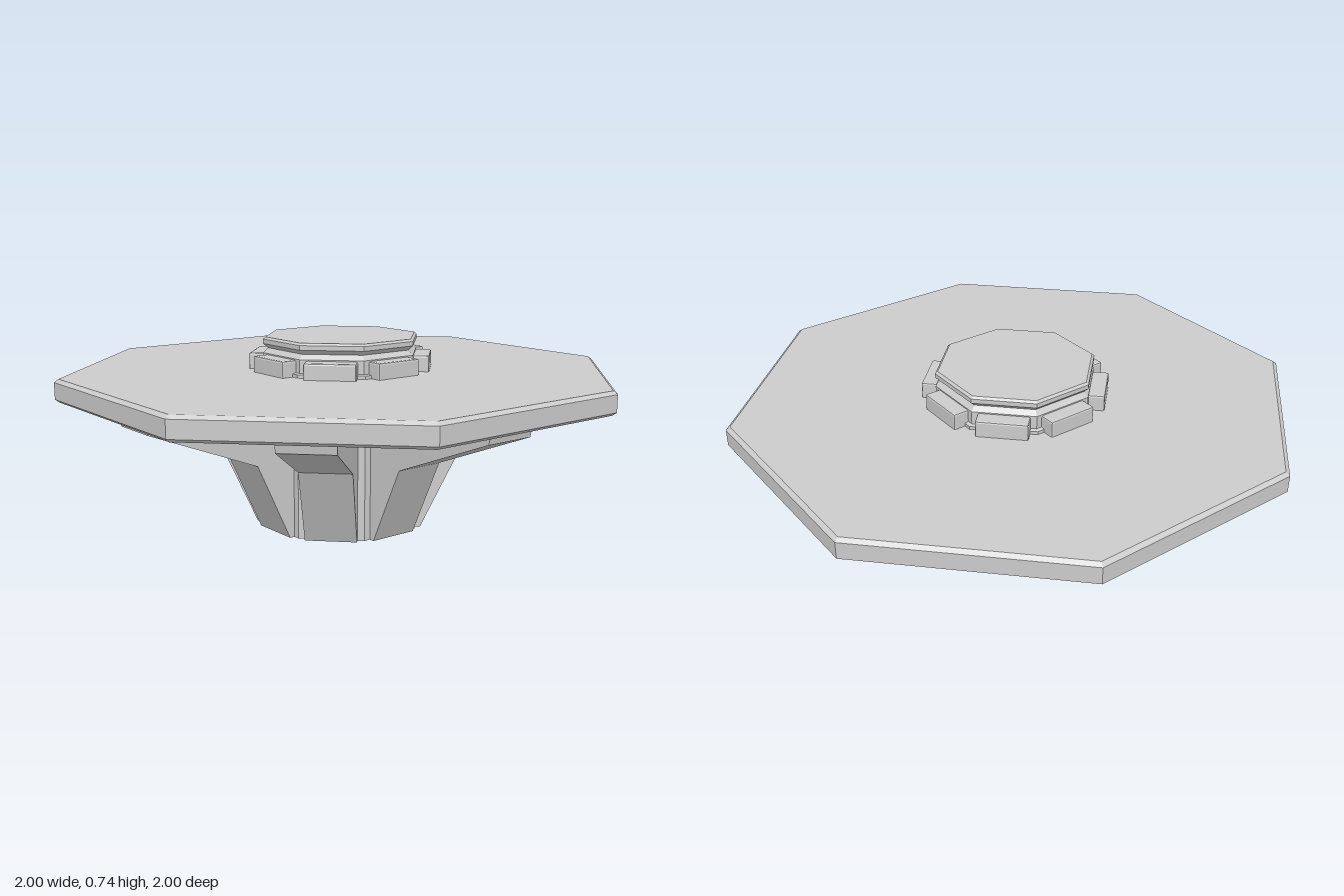
import * as THREE from 'three';
import { RoundedBoxGeometry } from 'three/addons/geometries/RoundedBoxGeometry.js';

const SIDES = 8;
const STEP = (Math.PI * 2) / SIDES;
const grey = new THREE.MeshStandardMaterial({ color: 0xcccccc, flatShading: true });
const greyShell = new THREE.MeshStandardMaterial({ color: 0xcccccc, flatShading: true, side: THREE.DoubleSide });

function part(name, geometry, material = grey) {
  const flat = geometry.index ? geometry.toNonIndexed() : geometry;
  flat.computeVertexNormals();
  const mesh = new THREE.Mesh(flat, material);
  mesh.name = name;
  return mesh;
}

// Octagonal solid from [apothem, y] pairs, flat sides facing the axes
function octagon(name, profile) {
  const points = profile.map(([r, y]) => new THREE.Vector2(r / Math.cos(STEP / 2), y));
  return part(name, new THREE.LatheGeometry(points, SIDES, STEP / 2));
}

// Hollow pedestal: an octagonal core whose sides push out into eight bracket legs
function pedestalGeometry() {
  const core = 0.3, half = 0.098;
  const corner = core * Math.tan(STEP / 2);
  const levels = [[0.32, 0], [0.46, 0.298], [0.895, 0.472], [0.905, 0.524]]; // leg reach, height
  const positions = [], index = [];
  const ring = SIDES * 5;
  levels.forEach(([reach, y], row) => {
    const section = [[-corner, core], [-half, core], [-half, reach], [half, reach], [half, core]];
    for (let s = 0; s < SIDES; s++) {
      const sin = Math.sin(s * STEP), cos = Math.cos(s * STEP);
      for (const [x, z] of section) positions.push(x * cos + z * sin, y, z * cos - x * sin);
    }
    if (row === 0) return;
    for (let i = 0; i < ring; i++) {
      const a = (row - 1) * ring + i, b = (row - 1) * ring + ((i + 1) % ring);
      index.push(a, b, b + ring, a, b + ring, a + ring);
    }
  });
  const geometry = new THREE.BufferGeometry();
  geometry.setAttribute('position', new THREE.Float32BufferAttribute(positions, 3));
  geometry.setIndex(index);
  return geometry;
}

export function createModel() {
  const model = new THREE.Group();
  model.name = 'octagonalTable';

  model.add(part('pedestal', pedestalGeometry(), greyShell));

  // Broad top with bevelled rim
  model.add(octagon('tableTop', [
    [0, 0.52], [0.985, 0.52], [1, 0.532], [1, 0.595], [0.985, 0.607], [0, 0.611],
  ]));

  // Raised hub with a groove under its lid
  model.add(octagon('hub', [
    [0.3, 0.6], [0.3, 0.622], [0.285, 0.625], [0.285, 0.675], [0.267, 0.693],
    [0.285, 0.71], [0.285, 0.727], [0.276, 0.735], [0, 0.735],
  ]));

  // One block against each side of the hub
  const blocks = new THREE.Group();
  blocks.name = 'hubBlocks';
  for (let i = 0; i < SIDES; i++) {
    const block = part('hubBlock', new RoundedBoxGeometry(0.192, 0.075, 0.07, 1, 0.007));
    block.position.set(Math.sin(i * STEP) * 0.31, 0.633, Math.cos(i * STEP) * 0.31);
    block.rotation.y = i * STEP;
    blocks.add(block);
  }
  model.add(blocks);

  return model;
}
